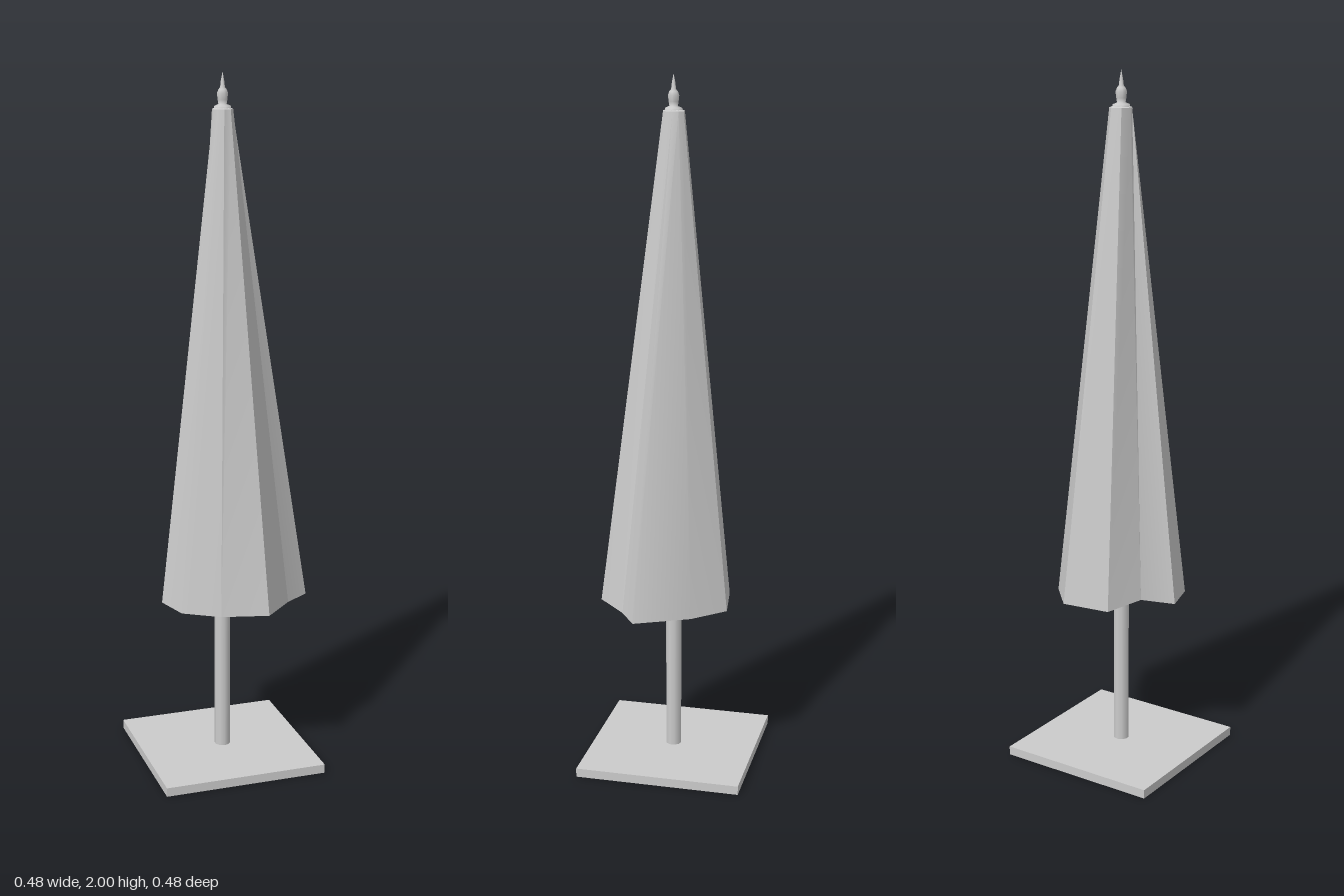
import * as THREE from 'three';
import { toCreasedNormals } from 'three/addons/utils/BufferGeometryUtils.js';

// Folded canopy: matching [x, z] corners of the hem and of the collar
const HEM = [
  [0.085, -0.172], [0.167, -0.085], [0.24, 0.067], [0.167, 0.116], [0.078, 0.203],
  [-0.055, 0.17], [-0.153, 0.108], [-0.182, 0.006], [-0.1, -0.047], [-0.056, -0.152],
];
const COLLAR = [
  [0.015, -0.027], [0.029, -0.016], [0.033, 0.0], [0.03, 0.015], [0.018, 0.03],
  [-0.002, 0.035], [-0.016, 0.028], [-0.026, 0.014], [-0.027, 0.003], [-0.016, -0.023],
];
const AXIS = [0.003, 0.004];

function canopyGeometry() {
  const n = HEM.length;
  const positions = [];
  const index = [];
  // The hem rises slightly where the cloth is folded inward
  HEM.forEach(([x, z], i) => positions.push(x, i === 8 ? 0.507 : 0.495, z));
  COLLAR.forEach(([x, z]) => positions.push(x, 1.9, z));
  positions.push(AXIS[0], 1.912, AXIS[1]);
  for (let i = 0; i < n; i++) {
    const j = (i + 1) % n;
    index.push(i, n + i, j, j, n + i, n + j); // side panel
    index.push(n + i, 2 * n, n + j); // closing cap
  }
  const geometry = new THREE.BufferGeometry();
  geometry.setAttribute('position', new THREE.Float32BufferAttribute(positions, 3));
  geometry.setIndex(index);
  return toCreasedNormals(geometry, 0.6);
}

export function createModel() {
  const group = new THREE.Group();
  const material = new THREE.MeshStandardMaterial({ color: 0xcccccc });
  const clothMaterial = new THREE.MeshStandardMaterial({ color: 0xcccccc, side: THREE.DoubleSide });

  const add = (name, geometry, x, y, z, mat = material) => {
    const mesh = new THREE.Mesh(geometry, mat);
    mesh.name = name;
    mesh.position.set(x, y, z);
    group.add(mesh);
  };

  // Square foot plate and pole
  add('base', new THREE.BoxGeometry(0.48, 0.026, 0.48), 0, 0.013, 0);
  add('pole', new THREE.CylinderGeometry(0.023, 0.023, 1.87, 10), AXIS[0], 0.96, AXIS[1]);

  // Closed cloth canopy
  add('canopy', canopyGeometry(), 0, 0, 0, clothMaterial);

  // Stepped finial ending in a spike
  const profile = [
    [0.026, 1.895], [0.024, 1.908], [0.012, 1.913], [0.014, 1.925], [0.016, 1.942],
    [0.012, 1.952], [0.007, 1.958], [0.005, 1.975], [0, 2],
  ].map(([r, y]) => new THREE.Vector2(r, y));
  add('finial', new THREE.LatheGeometry(profile, 8), AXIS[0], 0, AXIS[1]);

  return group;
}
